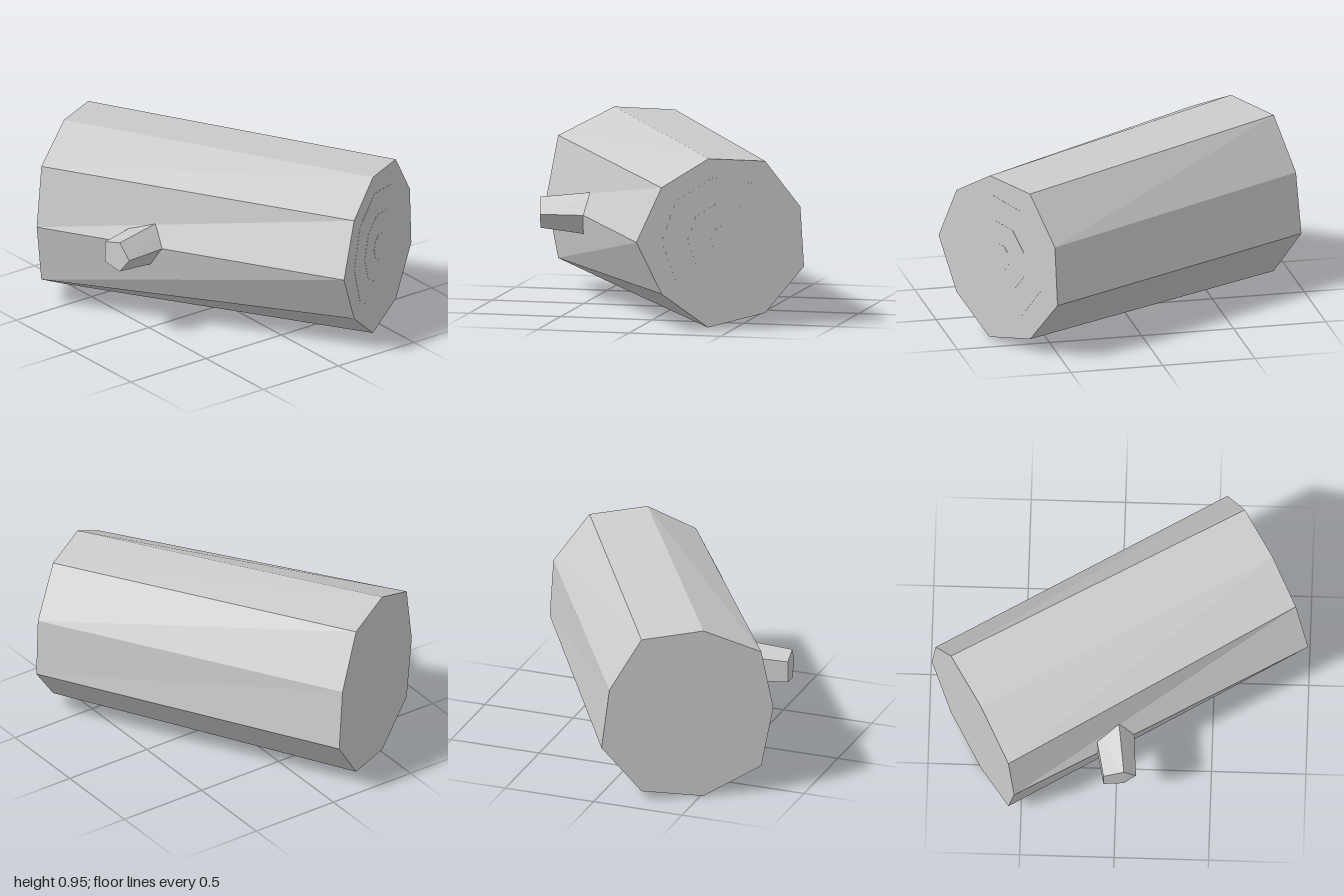
import * as THREE from 'three';

const bark = new THREE.MeshStandardMaterial({ color: 0xcccccc, flatShading: true });
bark.name = 'pale grey wood';

// Flat-sided solid between two matching loops of points, closed by end caps.
function loft(name, a, b) {
  const pos = [];
  const tri = (...pts) => pts.forEach((p) => pos.push(p.x, p.y, p.z));
  const n = a.length;
  for (let i = 0; i < n; i++) {
    const j = (i + 1) % n;
    tri(a[i], b[i], b[j]);
    tri(a[i], b[j], a[j]);
    if (i > 0 && i < n - 1) {
      tri(a[0], a[i], a[j]);
      tri(b[0], b[j], b[i]);
    }
  }
  const geo = new THREE.BufferGeometry();
  geo.setAttribute('position', new THREE.Float32BufferAttribute(pos, 3));
  geo.computeVertexNormals();
  const mesh = new THREE.Mesh(geo, bark);
  mesh.name = name;
  return mesh;
}

// The log lies at 30 degrees: "along" is its axis, "across" spans its ends.
const along = new THREE.Vector3(0.866, 0, -0.5);
const across = new THREE.Vector3(0.5, 0, 0.866);
const section = (s, pts) => pts.map(([u, y]) =>
  new THREE.Vector3(0, y, 0).addScaledVector(along, s).addScaledVector(across, u));
const points = (list) => list.map((p) => new THREE.Vector3(...p));

export function createModel() {
  const group = new THREE.Group();
  group.name = 'log';

  // Uneven nine-sided trunk
  const half = 0.882;
  const leftEnd = [[0.46, 0.487], [0.396, 0.813], [0.086, 0.954], [-0.246, 0.925], [-0.418, 0.647],
    [-0.46, 0.316], [-0.246, 0.053], [0.086, 0.003], [0.396, 0.157]];
  const rightEnd = [[0.463, 0.488], [0.325, 0.775], [0.066, 0.92], [-0.245, 0.895], [-0.438, 0.644],
    [-0.458, 0.324], [-0.245, 0.084], [0.07, 0.018], [0.324, 0.206]];
  group.add(loft('trunk', section(-half, leftEnd), section(half, rightEnd)));

  // Growth rings: stacked thin plates on the cut end
  [0.336, 0.197, 0.073].forEach((r, k) => {
    const ring = Array.from({ length: 9 }, (_, i) => {
      const t = (i / 9) * Math.PI * 2;
      return [-0.012 - k * 0.002 + r * Math.cos(t), 0.487 + r * Math.sin(t)];
    });
    const s = half + k * 0.001;
    group.add(loft('growthRing' + (k + 1), section(s, ring), section(s + 0.001, ring)));
  });

  // Five-sided branch stub, with its root carried on into the trunk
  const tip = points([[0.043, 0.572, 0.726], [0.107, 0.487, 0.712], [0.043, 0.406, 0.726],
    [-0.064, 0.428, 0.742], [-0.064, 0.545, 0.742]]);
  const base = points([[0.01, 0.599, 0.467], [0.09, 0.487, 0.475], [0.016, 0.378, 0.502],
    [-0.102, 0.422, 0.56], [-0.102, 0.556, 0.56]]);
  const root = base.map((p, i) => p.clone().lerp(tip[i], -0.4));
  group.add(loft('branchStub', root, tip));

  return group;
}
